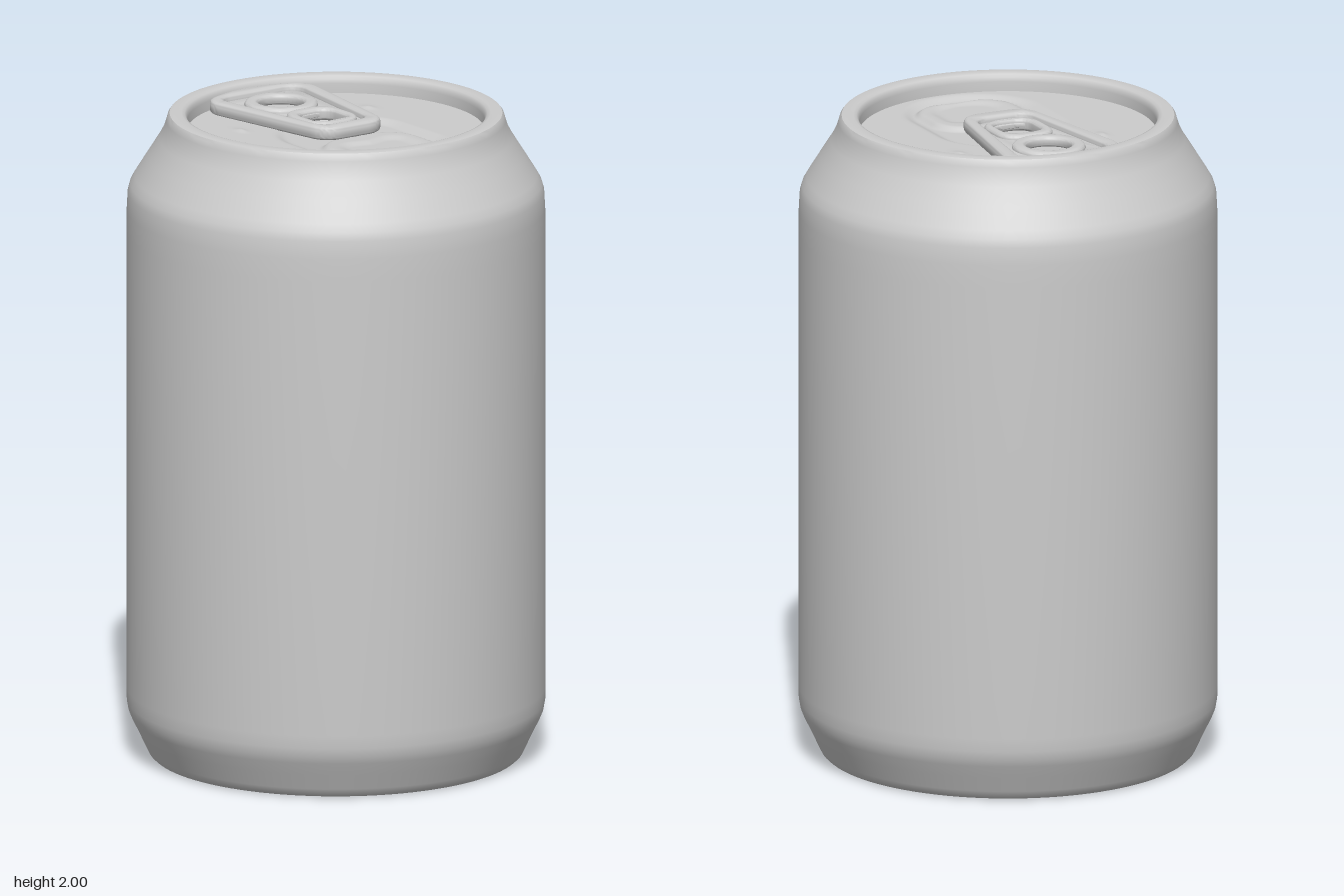
import * as THREE from 'three';
import { toCreasedNormals } from 'three/addons/utils/BufferGeometryUtils.js';

const material = new THREE.MeshStandardMaterial({ color: 0xcccccc });
const FLOOR = 1.945; // height of the lid panel

function add(parent, name, geometry) {
  const mesh = new THREE.Mesh(geometry, material);
  mesh.name = name;
  parent.add(mesh);
  return mesh;
}

// Closed outline with rounded corners; corners are [x, z, radius]
function rounded(corners, Type = THREE.Shape) {
  const path = new Type();
  const n = corners.length;
  corners.forEach(([x, z, r], i) => {
    const p = new THREE.Vector2(x, z);
    const toward = ([a, b]) => new THREE.Vector2(a, b).sub(p).setLength(r).add(p);
    const start = toward(corners[(i + n - 1) % n]);
    const end = toward(corners[(i + 1) % n]);
    if (i === 0) path.moveTo(start.x, start.y);
    else path.lineTo(start.x, start.y);
    path.quadraticCurveTo(x, z, end.x, end.y);
  });
  path.closePath();
  return path;
}

// Symmetric four-sided outline: back edge, then front edge
const taper = (z0, w0, r0, z1, w1, r1, Type) =>
  rounded([[-w0, z0, r0], [w0, z0, r0], [w1, z1, r1], [-w1, z1, r1]], Type);

const circle = (z, r, Type) => {
  const path = new Type();
  path.absarc(0, z, r, 0, Math.PI * 2);
  return path;
};

// Horizontal plate with rounded edges; bevel grows inward from the outline
function plate(shape, holes, top, bottom, bevel) {
  shape.holes.push(...holes);
  const geometry = new THREE.ExtrudeGeometry(shape, {
    depth: top - bottom - 2 * bevel, bevelThickness: bevel, bevelSize: bevel,
    bevelOffset: -bevel, bevelSegments: 4, curveSegments: 14,
  });
  geometry.rotateX(Math.PI / 2).translate(0, top - bevel, 0);
  return toCreasedNormals(geometry, 0.6);
}

// Signed distance to a rounded box centred on x = 0
function boxDistance(x, z, cz, hx, hz, r) {
  const qx = Math.abs(x) - hx + r, qz = Math.abs(z - cz) - hz + r;
  return Math.hypot(Math.max(qx, 0), Math.max(qz, 0)) + Math.min(Math.max(qx, qz), 0) - r;
}

// Pressed relief of the lid
function relief(x, z) {
  const inside = (d, soft) => 1 - THREE.MathUtils.smoothstep(d, -soft, soft);
  const channel = inside(boxDistance(x, z, 0.14, 0.2, 0.28, 0.19), 0.022);
  const mouth = inside(boxDistance(x, z, 0.23, 0.16, 0.14, 0.1), 0.012);
  const dish = inside(boxDistance(x, z + 0.25 * Math.abs(x), 0.265, 0.11, 0.09, 0.06), 0.02);
  const dimple = Math.exp(-(((Math.abs(x) - 0.24) / 0.014) ** 2) - ((z + 0.16) / 0.025) ** 2);
  return -0.014 * channel + 0.014 * mouth - 0.008 * dish + 0.006 * dimple;
}

export function createModel() {
  const can = new THREE.Group();
  can.name = 'drinkCan';

  // Body: recessed base, foot, wall, shoulder and rim in one turned profile
  const profile = [
    [0, 0.045], [0.495, 0.045], [0.505, 0.04], [0.52, 0.018], [0.532, 0.005], [0.545, 0],
    [0.558, 0.003], [0.568, 0.012], [0.577, 0.03], [0.6, 0.08], [0.62, 0.12], [0.629, 0.142],
    [0.634, 0.17], [0.635, 0.21], [0.635, 1.63], [0.634, 1.7], [0.631, 1.755], [0.624, 1.78],
    [0.61, 1.804], [0.57, 1.868], [0.537, 1.92], [0.523, 1.947], [0.514, 1.975],
    [0.51, 1.99], [0.504, 1.998], [0.494, 2], [0.468, 2], [0.458, 1.997], [0.452, 1.988],
    [0.45, 1.975], [0.45, FLOOR - 0.01],
  ].map(([r, y]) => new THREE.Vector2(r, y));
  add(can, 'body', toCreasedNormals(new THREE.LatheGeometry(profile, 96), 0.7));

  // Lid panel with the pressed opening
  const lid = new THREE.RingGeometry(0, 0.451, 160, 70).rotateX(-Math.PI / 2);
  const pos = lid.attributes.position;
  for (let i = 0; i < pos.count; i++) pos.setY(i, FLOOR + relief(pos.getX(i), pos.getZ(i)));
  lid.computeVertexNormals();
  add(can, 'lid', lid);

  // Pull tab: rounded frame, thin web, and rims round the two holes
  const tab = new THREE.Group();
  tab.name = 'pullTab';
  can.add(tab);
  const outline = rounded([
    [-0.2, -0.41, 0.07], [0, -0.48, 0.12], [0.2, -0.41, 0.07], [0.115, 0.105, 0.07], [-0.115, 0.105, 0.07],
  ]);
  add(tab, 'tabFrame', plate(outline,
    [taper(-0.405, 0.15, 0.06, 0.05, 0.085, 0.045, THREE.Path)], 1.984, 1.942, 0.013));
  add(tab, 'tabWeb', plate(taper(-0.415, 0.16, 0.05, 0.06, 0.095, 0.04),
    [circle(-0.28, 0.08, THREE.Path), taper(-0.13, 0.07, 0.05, 0, 0.07, 0.05, THREE.Path)],
    1.966, 1.952, 0.002));
  add(tab, 'fingerHoleRim', plate(circle(-0.28, 0.112, THREE.Shape),
    [circle(-0.28, 0.07, THREE.Path)], 1.979, 1.946, 0.012));
  add(tab, 'rivetHoleRim', plate(taper(-0.17, 0.09, 0.07, 0.025, 0.09, 0.07),
    [taper(-0.132, 0.062, 0.05, 0.008, 0.062, 0.05, THREE.Path)], 1.979, 1.94, 0.011));

  return can;
}
